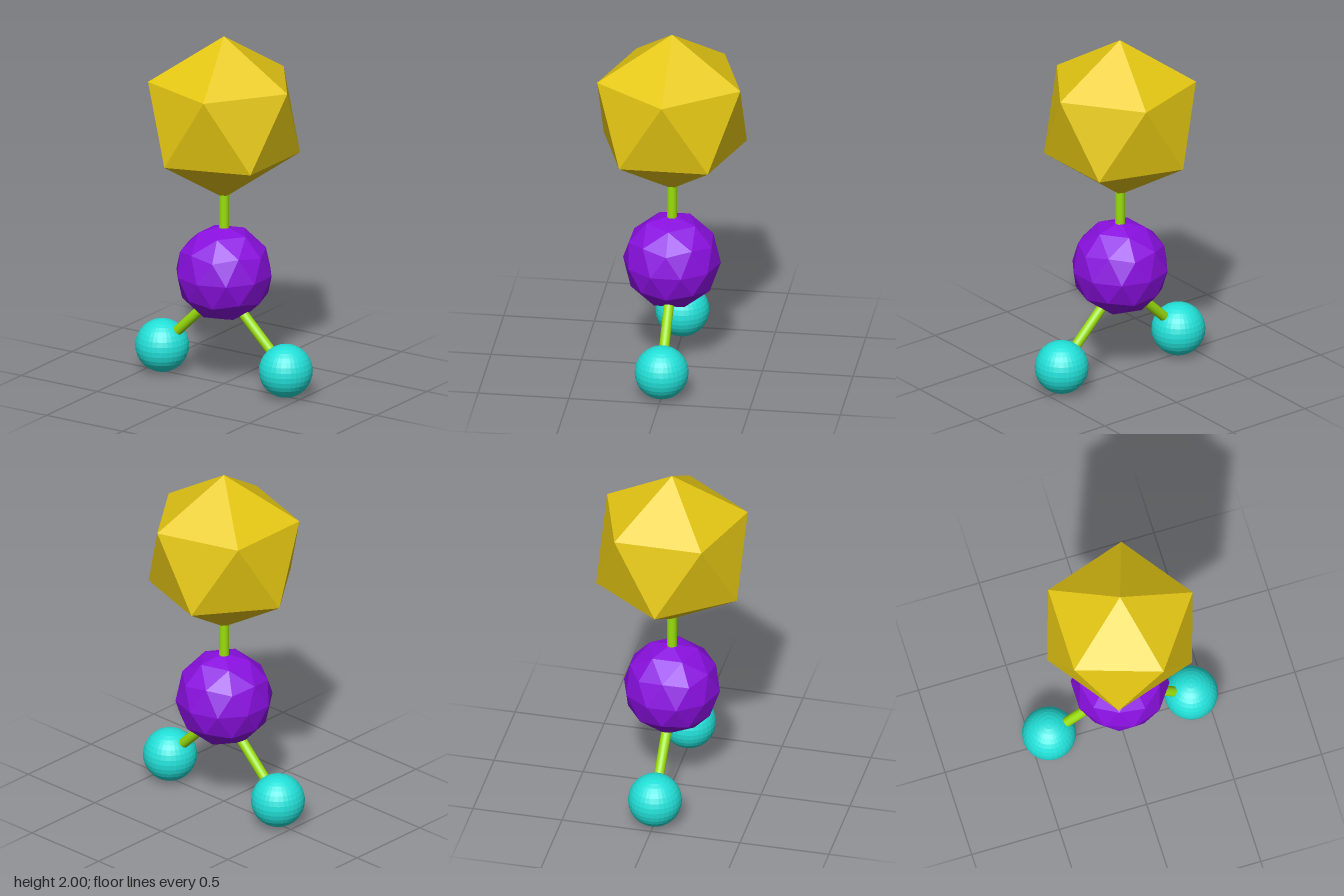
import * as THREE from 'three';

const flat = (color) => new THREE.MeshStandardMaterial({ color, flatShading: true });
const gold = flat(0xe6c813);
const purple = flat(0x8a10e0);
const teal = flat(0x22e0d8);
const green = new THREE.MeshStandardMaterial({ color: 0x99dd0d });

export function createModel() {
  const model = new THREE.Group();
  const add = (name, geometry, material, x, y) => {
    const mesh = new THREE.Mesh(geometry, material);
    mesh.name = name;
    mesh.position.set(x, y, 0);
    model.add(mesh);
    return mesh;
  };

  // Icosahedron tilted so that it stands on one corner
  const tilt = -Math.atan(2 / (1 + Math.sqrt(5)));
  const ico = (radius, detail) => new THREE.IcosahedronGeometry(radius, detail).rotateZ(tilt);

  // Rod between two points in the z = 0 plane
  const rod = (name, x0, y0, x1, y1) => {
    const dir = new THREE.Vector3(x1 - x0, y1 - y0, 0);
    const geometry = new THREE.CylinderGeometry(0.028, 0.028, dir.length(), 24);
    const mesh = add(name, geometry, green, (x0 + x1) / 2, (y0 + y1) / 2);
    mesh.quaternion.setFromUnitVectors(new THREE.Vector3(0, 1, 0), dir.normalize());
  };

  // Head, body and the neck between them
  add('head', ico(0.465, 0), gold, 0, 1.535);
  add('body', ico(0.27, 1), purple, 0, 0.64);
  rod('neck', 0, 0.8, 0, 1.2);

  // Splayed legs ending in ball feet
  for (const [side, s] of [['left', 1], ['right', -1]]) {
    rod(side + 'Leg', s * 0.05, 0.5, s * 0.38, 0.175);
    add(side + 'Foot', new THREE.SphereGeometry(0.148, 32, 16), teal, s * 0.406, 0.148);
  }
  return model;
}
